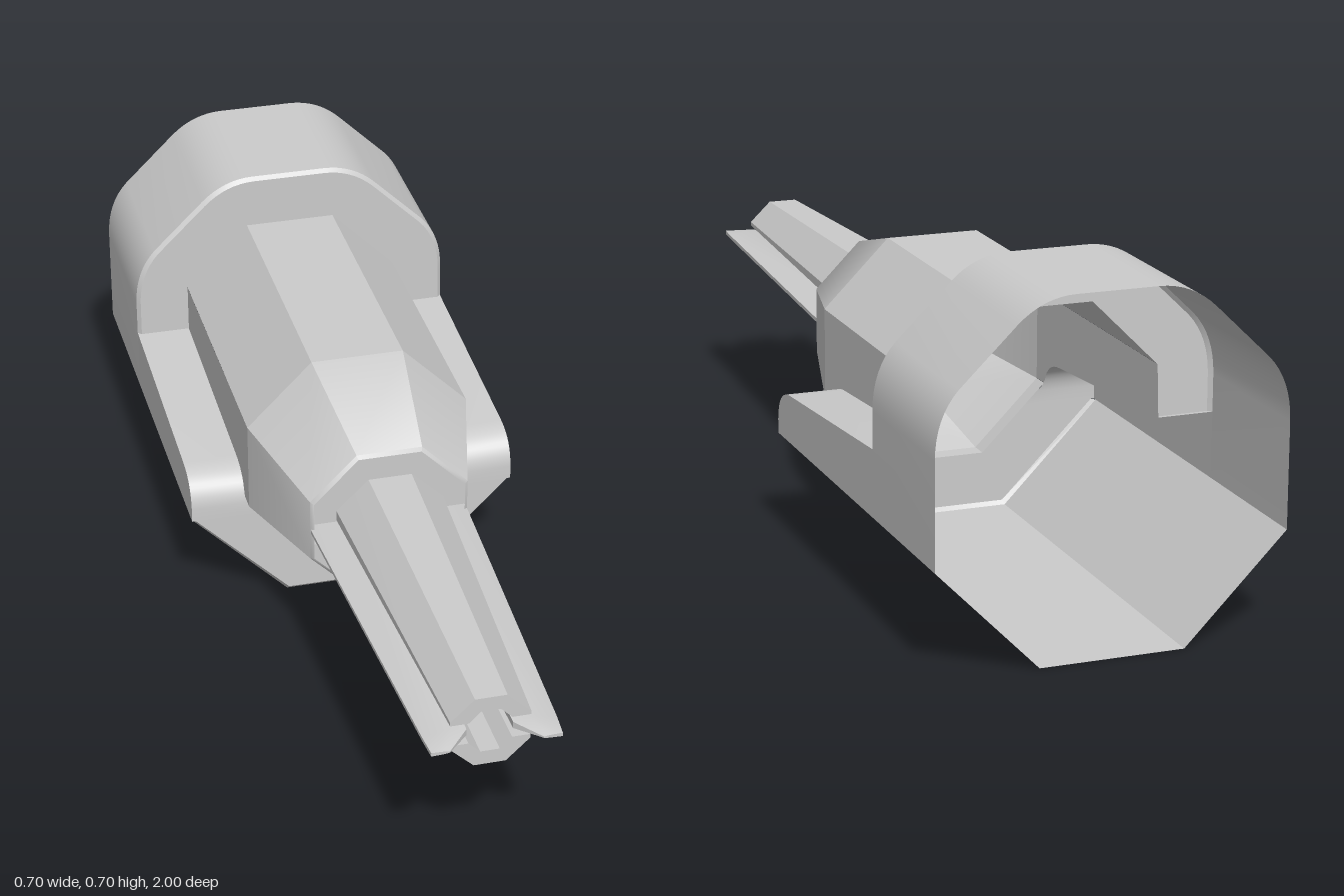
import * as THREE from 'three';
import { toCreasedNormals } from 'three/addons/utils/BufferGeometryUtils.js';

const CY = 0.353; // height of the long axis

export function createModel() {
  const group = new THREE.Group();
  const material = new THREE.MeshStandardMaterial({ color: 0xcccccc, side: THREE.DoubleSide });

  const add = (name, geometry) => {
    const mesh = new THREE.Mesh(toCreasedNormals(geometry, 0.6), material);
    mesh.name = name;
    group.add(mesh);
    return mesh;
  };

  // Skin through cross-sections, each { z, pts: [[x, y], ...] }
  const loft = (sections, closed = true, caps = false) => {
    const n = sections[0].pts.length;
    const pos = [], idx = [];
    for (const s of sections) for (const [x, y] of s.pts) pos.push(x, y, s.z);
    for (let s = 0; s < sections.length - 1; s++) {
      for (let i = 0; i < (closed ? n : n - 1); i++) {
        const a = s * n + i, b = s * n + (i + 1) % n;
        idx.push(a, b, b + n, a, b + n, a + n);
      }
    }
    if (caps) {
      const first = sections[0].pts.map(p => new THREE.Vector2(...p));
      const last = sections[sections.length - 1].pts.map(p => new THREE.Vector2(...p));
      const off = (sections.length - 1) * n;
      for (const [a, b, c] of THREE.ShapeUtils.triangulateShape(first, [])) idx.push(a, c, b);
      for (const [a, b, c] of THREE.ShapeUtils.triangulateShape(last, [])) idx.push(off + a, off + b, off + c);
    }
    const g = new THREE.BufferGeometry();
    g.setAttribute('position', new THREE.Float32BufferAttribute(pos, 3));
    g.setIndex(idx);
    return g;
  };

  const plate = (pts, z) =>
    new THREE.ShapeGeometry(new THREE.Shape(pts.map(p => new THREE.Vector2(...p)))).translate(0, 0, z);

  // Flat wall in the side plane; points are [z, y]
  const sidePlate = (pts, x) => plate(pts.map(([z, y]) => [-z, y]), 0).rotateY(Math.PI / 2).translate(x, 0, 0);

  const octagon = (r) => {
    const c = r * 0.414;
    return [[r, c], [c, r], [-c, r], [-r, c], [-r, -c], [-c, -r], [c, -r], [r, -c]].map(([x, y]) => [x, y + CY]);
  };

  // Collar outline: sharp below, rounded upper corners
  const outline = (inset = 0, low = 0.21) => {
    const k = 1 - inset / 0.352;
    const s = new THREE.Shape();
    s.moveTo(0.35, low);
    s.lineTo(0.35, 0.42);
    s.quadraticCurveTo(0.35, 0.5, 0.305, 0.548);
    s.lineTo(0.195, 0.655);
    s.quadraticCurveTo(0.145, 0.703, 0.08, 0.703);
    const right = s.getPoints(8).map(p => [p.x, p.y]);
    const left = right.map(([x, y]) => [-x, y]).reverse();
    return [...right, ...left].map(([x, y]) => [x * k, CY + (y - CY) * k]);
  };
  const fullOutline = (inset = 0) => {
    const k = 1 - inset / 0.352;
    return [...outline(inset), ...[[-0.145, 0.001], [0.145, 0.001]].map(([x, y]) => [x * k, CY + (y - CY) * k])];
  };

  // Rear collar with a fine bevel on its upper front edge
  add('collar', loft([{ z: -1, pts: fullOutline() }, { z: -0.668, pts: fullOutline() }]));
  add('collarBevel', loft([
    { z: -0.668, pts: outline(0, 0.345) }, { z: -0.66, pts: outline(0.008, 0.345) }], false));
  add('collarFrontWall', plate([...outline(0.008, 0.345),
    [-0.235, 0.345], [-0.235, 0.45], [-0.097, 0.588], [0.097, 0.588], [0.235, 0.45], [0.235, 0.345]], -0.66));

  // Lower cradle floor, sloping sides and front wall
  const floor = [[-0.35, 0.21], [-0.145, 0.001], [0.145, 0.001], [0.35, 0.21]];
  const floorFront = [[-0.342, 0.21], [-0.142, 0.009], [0.142, 0.009], [0.342, 0.21]];
  add('cradleFloor', loft([
    { z: -0.668, pts: floor }, { z: -0.098, pts: floor }, { z: -0.09, pts: floorFront }], false));
  add('cradleFrontWall', plate([...floorFront,
    [0.189, 0.21], [0.097, 0.118], [-0.097, 0.118], [-0.189, 0.21]], -0.09));

  // Ledge line [z, y], dropping in a rounded corner to the cradle front
  const curve = new THREE.QuadraticBezierCurve(
    new THREE.Vector2(-0.17, 0.31), new THREE.Vector2(-0.095, 0.305), new THREE.Vector2(-0.09, 0.24));
  const ledge = [[-0.668, 0.345], ...curve.getPoints(10).map(p => [p.x, p.y]), [-0.09, 0.21]];

  for (const side of [1, -1]) {
    add('cradleSide', sidePlate([[-0.668, 0.21], ...ledge], side * 0.35));
    const strip = ledge.map(([z, y]) => ({ z, pts: [
      [side * 0.35, y], [side * Math.min(0.235, 0.235 - (0.256 - y)), y]] }));
    add('cradleLedge', loft(strip, false));
    // Body flank, cut off along the ledge
    const above = ledge.filter(([, y]) => y > 0.256);
    add('bodyFlank', sidePlate(
      [[-0.66, 0.45], ...above, [-0.09, 0.256], [-0.05, 0.256], [-0.05, 0.45]], side * 0.235));
  }

  // Octagonal body: roof, short underside, tapering nose
  const big = octagon(0.235);
  add('bodyRoof', loft([{ z: -0.66, pts: big.slice(0, 4) }, { z: -0.05, pts: big.slice(0, 4) }], false));
  add('bodyUnderside', loft([{ z: -0.09, pts: big.slice(4) }, { z: -0.05, pts: big.slice(4) }], false));
  add('bodyNose', loft([
    { z: -0.05, pts: big }, { z: 0.213, pts: octagon(0.165) }, { z: 0.22, pts: octagon(0.158) }]));

  // Nose face with a slot on each side for the fins
  const nose = octagon(0.158);
  const slot = (s) => [[s * 0.158, CY + s * 0.018], [s * 0.09, CY + s * 0.018],
    [s * 0.09, CY - s * 0.03 * s], [s * 0.158, CY - s * 0.03 * s]];
  const rightSlot = [[0.158, CY - 0.03], [0.09, CY - 0.03], [0.09, CY + 0.018], [0.158, CY + 0.018]];
  const leftSlot = rightSlot.map(([x, y]) => [-x, y]).reverse();
  add('noseFace', plate([...nose.slice(0, 4), ...leftSlot, ...nose.slice(4), ...rightSlot], 0.22));

  // Upper and lower prongs: tapering half tubes around a bore
  const prong = (s, w, h, cy) => {
    const g = 0.023, b = 0.046;
    return [[w, g], [w, 0.41 * h], [0.41 * h, h], [-0.41 * h, h], [-w, 0.41 * h], [-w, g],
      [-b + 0.004, g], [-0.019, b], [0.019, b], [b - 0.004, g]].map(([x, y]) => [x, cy + s * y]);
  };
  for (const s of [1, -1]) {
    add(s > 0 ? 'upperProng' : 'lowerProng', loft([
      { z: 0.215, pts: prong(s, 0.112, 0.11, 0.351) },
      { z: 0.955, pts: prong(s, 0.078, 0.076, 0.362) }], true, true));
  }

  // Thin side fins, thickest near the bore and pointed at the front
  const fin = (s, inner, mid, outer, t, cy) => [
    [inner, 0.5 * t], [mid, t], [outer, 0.004], [outer, -0.004], [mid, -t], [inner, -0.5 * t],
  ].map(([x, y]) => [s * x, cy + y]);
  for (const s of [1, -1]) {
    add('sideFin', loft([
      { z: 0.14, pts: fin(s, 0.04, 0.085, 0.164, 0.022, 0.351) },
      { z: 0.22, pts: fin(s, 0.04, 0.085, 0.164, 0.022, 0.352) },
      { z: 0.95, pts: fin(s, 0.045, 0.075, 0.13, 0.014, 0.362) },
      { z: 1, pts: fin(s, 0.09, 0.1, 0.126, 0.003, 0.362) }], true, true));
  }

  // Rounded end of the bore
  add('boreEnd', new THREE.SphereGeometry(0.046, 24, 16).translate(0, 0.354, 0.23));

  return group;
}
